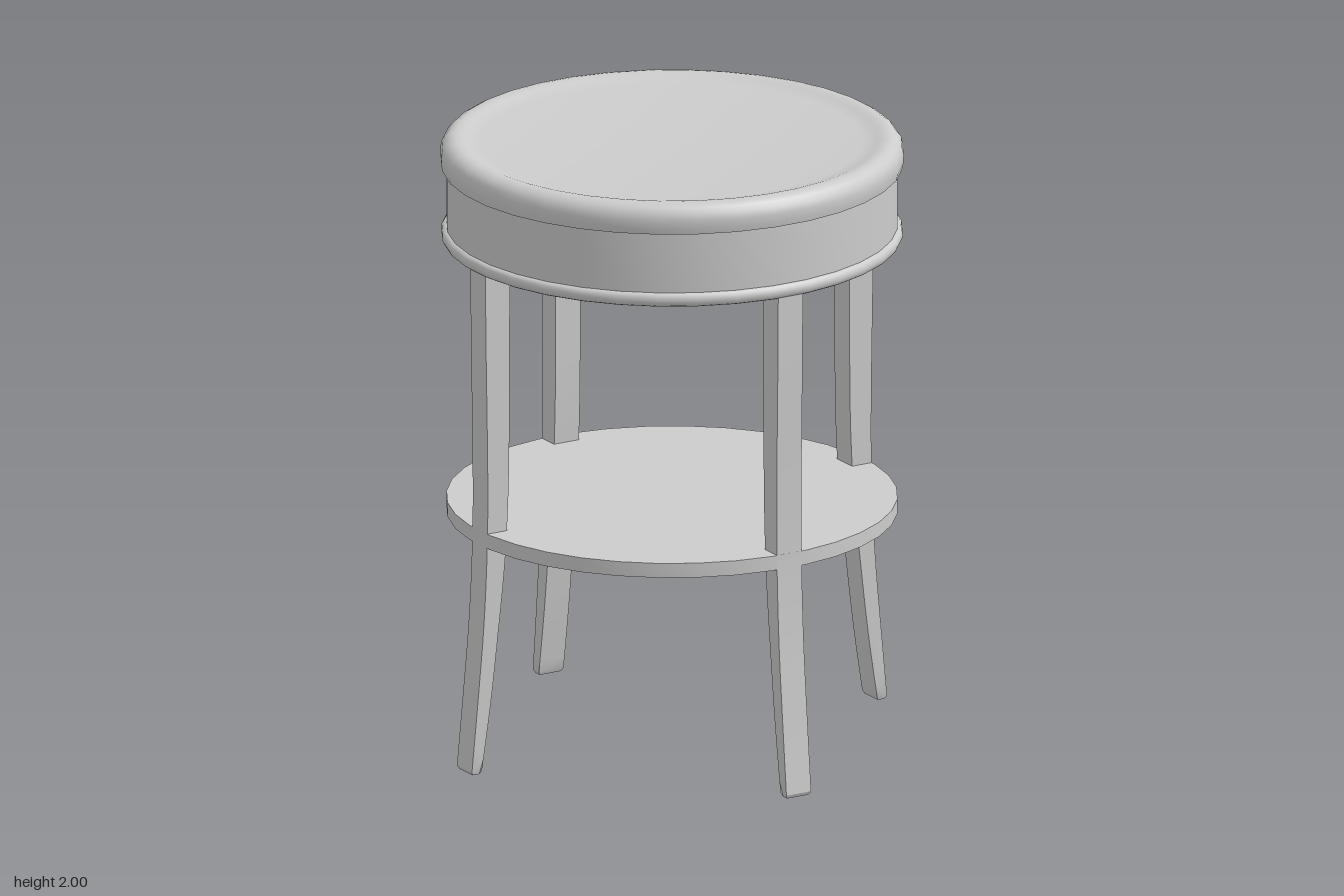
import * as THREE from 'three';
import { toCreasedNormals } from 'three/addons/utils/BufferGeometryUtils.js';

const material = new THREE.MeshStandardMaterial({ color: 0xcccccc });
const SIDES = 36;

// Solid of revolution with sharp corners kept; the profile runs bottom to top
function turned(name, profile) {
  const points = profile.map(([r, y]) => new THREE.Vector2(r, y));
  const geometry = new THREE.LatheGeometry(points, SIDES, Math.PI / SIDES);
  const mesh = new THREE.Mesh(toCreasedNormals(geometry, 0.75), material);
  mesh.name = name;
  return mesh;
}

// Sabre leg: side outline extruded to the leg's width
function legGeometry() {
  const width = 0.092;
  const v = (x, y) => new THREE.Vector2(x, y);
  const outer = [v(0.725, 1.67), v(0.722, 1.4), v(0.716, 1.0), v(0.718, 0.75),
    v(0.73, 0.5), v(0.752, 0.25), v(0.775, 0.012)];
  const inner = [v(0.738, 0.012), v(0.705, 0.23), v(0.675, 0.48), v(0.65, 0.72),
    v(0.637, 1.0), v(0.635, 1.4), v(0.632, 1.67)];
  const shape = new THREE.Shape([
    ...new THREE.SplineCurve(outer).getPoints(24),
    v(0.769, 0), v(0.744, 0),
    ...new THREE.SplineCurve(inner).getPoints(24),
  ]);
  const geometry = new THREE.ExtrudeGeometry(shape, { depth: width, bevelEnabled: false });
  geometry.translate(0, 0, -width / 2);
  // Chamfer the sole on the two flat sides as well
  const p = geometry.attributes.position;
  for (let i = 0; i < p.count; i++) {
    if (p.getY(i) < 0.005) p.setZ(i, p.getZ(i) * 0.86);
  }
  return toCreasedNormals(geometry, 0.5);
}

export function createModel() {
  const table = new THREE.Group();
  table.name = 'roundSideTable';

  // Top with a rounded rim and a slightly dished centre
  table.add(turned('top', [
    [0, 1.905], [0.735, 1.905], [0.739, 1.925], [0.74, 1.95], [0.735, 1.972],
    [0.722, 1.988], [0.706, 1.997], [0.69, 2], [0.672, 1.998], [0.655, 1.993],
    [0.635, 1.987], [0.61, 1.984], [0, 1.984],
  ]));

  table.add(turned('apron', [[0, 1.69], [0.72, 1.69], [0.72, 1.91], [0, 1.91]]));

  // Rounded moulding below the apron
  table.add(turned('apronMoulding', [
    [0, 1.66], [0.722, 1.66], [0.731, 1.665], [0.736, 1.675], [0.737, 1.684],
    [0.735, 1.694], [0.73, 1.701], [0.72, 1.705], [0, 1.705],
  ]));

  table.add(turned('shelf', [[0, 0.752], [0.72, 0.752], [0.72, 0.8], [0, 0.8]]));

  // Four legs, one on each axis
  const geometry = legGeometry();
  ['leftLeg', 'backLeg', 'rightLeg', 'frontLeg'].forEach((name, i) => {
    const leg = new THREE.Mesh(geometry, material);
    leg.name = name;
    leg.rotation.y = i * Math.PI / 2;
    table.add(leg);
  });

  return table;
}
